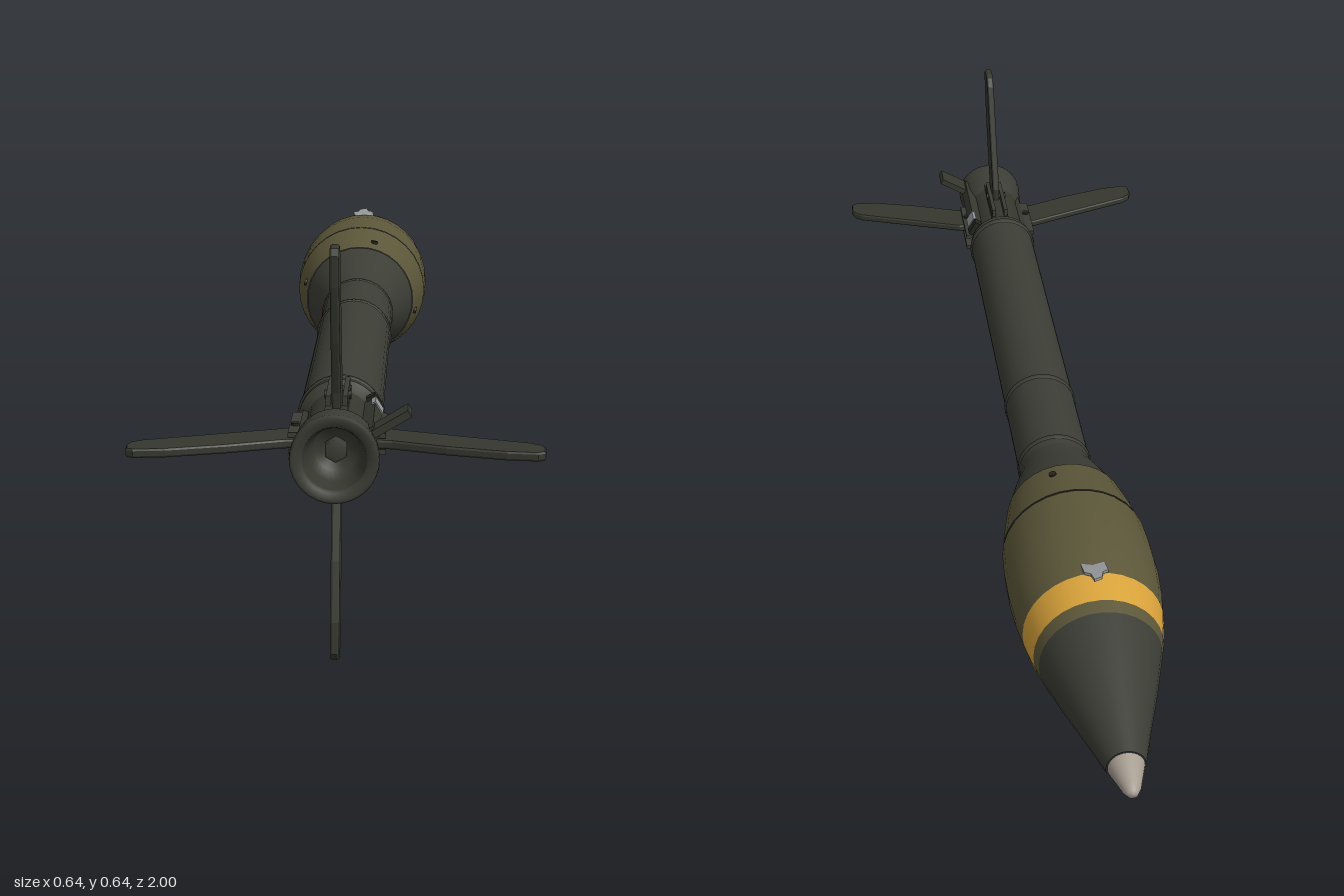
import * as THREE from 'three';

const material = (name, color) => {
  const m = new THREE.MeshStandardMaterial({ color });
  m.name = name;
  return m;
};

export function createModel() {
  const dark = material('dark casing', 0x3c3d35);
  const olive = material('olive body', 0x5c5739);
  const yellow = material('yellow band', 0xd9a339);
  const pale = material('pale tip', 0xa79d91);
  const finPaint = material('fin paint', 0x36382f);
  const black = material('recess black', 0x24251f);
  const steel = material('bare steel', 0x94979b);

  const model = new THREE.Group();
  model.name = 'finnedRocket';
  const body = new THREE.Group(); // everything sits around the z axis
  body.name = 'rocketAssembly';
  body.position.y = 0.323;
  model.add(body);

  const add = (parent, name, geometry, mat) => {
    const mesh = new THREE.Mesh(geometry, mat);
    mesh.name = name;
    parent.add(mesh);
    return mesh;
  };
  // Profile points are [z, radius], running from nose to tail
  const turned = (name, mat, profile, sides = 32) => {
    const g = new THREE.LatheGeometry(profile.map(([z, r]) => new THREE.Vector2(r, z)), sides);
    g.rotateX(Math.PI / 2);
    return add(body, name, g, mat);
  };
  const box = (parent, name, mat, size, pos) => {
    const m = add(parent, name, new THREE.BoxGeometry(...size), mat);
    m.position.set(...pos);
    return m;
  };

  // Warhead, from tip to shoulder
  turned('noseTip', pale, [[-1, 0], [-0.998, 0.009], [-0.985, 0.016], [-0.935, 0.031]]);
  turned('noseCone', dark, [[-0.935, 0.033], [-0.86, 0.054], [-0.77, 0.081], [-0.675, 0.107]]);
  turned('frontCollar', olive, [[-0.675, 0.107], [-0.65, 0.113]]);
  turned('yellowBand', yellow, [[-0.65, 0.113], [-0.62, 0.119], [-0.59, 0.124]]);
  turned('warheadFront', olive, [[-0.59, 0.124], [-0.54, 0.131], [-0.48, 0.135], [-0.42, 0.135], [-0.365, 0.132]]);
  turned('warheadSeam', black, [[-0.365, 0.131], [-0.36, 0.131]]);
  turned('warheadRear', olive, [[-0.36, 0.132], [-0.31, 0.122], [-0.25, 0.109]]);
  turned('shoulder', dark, [[-0.25, 0.108], [-0.2, 0.092], [-0.155, 0.076], [-0.125, 0.069]]);

  // Motor tube with thin joint rings
  turned('motorTube', dark, [[-0.125, 0.069], [0.3, 0.068], [0.755, 0.068]]);
  turned('tubeRearLip', dark, [[0.755, 0.068], [0.77, 0.056], [0.78, 0.052]]);
  for (const z of [-0.11, 0.1, 0.73]) turned('jointRing', dark, [[z, 0.068], [z + 0.002, 0.071], [z + 0.01, 0.071], [z + 0.012, 0.068]]);

  // Tail boom and hollow nozzle
  turned('tailBoom', finPaint, [[0.77, 0.054], [0.9, 0.053], [0.92, 0.056]]);
  turned('nozzleOuter', dark, [[0.91, 0.055], [0.935, 0.065], [0.99, 0.069]]);
  turned('nozzleRim', dark, [[0.99, 0.069], [0.998, 0.068], [1, 0.064], [0.998, 0.052], [0.992, 0.049]]);
  turned('nozzleInner', finPaint, [[0.992, 0.049], [0.965, 0.042], [0.93, 0.034], [0.925, 0]]);
  turned('nozzlePlug', dark, [[0.925, 0.02], [0.943, 0.019], [0.947, 0.015], [0.947, 0]], 6);

  // Four swept fins with hinge lugs
  const outline = [[0.05, 0.835], [0.085, 0.835], [0.2, 0.877], [0.3, 0.913], [0.315, 0.925],
    [0.32, 0.94], [0.318, 0.962], [0.308, 0.968], [0.26, 0.963], [0.17, 0.937], [0.085, 0.905], [0.05, 0.9]];
  const finGeometry = new THREE.ExtrudeGeometry(
    new THREE.Shape(outline.map(([r, z]) => new THREE.Vector2(r, z))),
    { depth: 0.008, bevelEnabled: true, bevelThickness: 0.003, bevelSize: 0.002, bevelSegments: 1 });
  finGeometry.translate(0, 0, -0.004).rotateX(Math.PI / 2);
  const sweep = [0, 0.012, 0, 0.026];
  for (let i = 0; i < 4; i++) {
    const unit = new THREE.Group();
    unit.name = 'finUnit';
    unit.rotation.z = i * Math.PI / 2;
    body.add(unit);
    add(unit, 'fin', finGeometry, finPaint).position.z = sweep[i];
    for (const s of [-1, 1]) box(unit, 'hingeLug', dark, [0.028, 0.008, 0.13], [0.062, s * 0.013, 0.835]);
    box(unit, 'hingeBase', finPaint, [0.02, 0.036, 0.17], [0.05, 0, 0.84]);
    const pin = add(unit, 'hingePin', new THREE.CylinderGeometry(0.007, 0.007, 0.042, 10), black);
    pin.position.set(0.067, 0, 0.852);
  }

  // Retaining clip between the upper and left fins
  const clip = new THREE.Group();
  clip.name = 'retainingClip';
  clip.rotation.z = 0.54;
  body.add(clip);
  box(clip, 'clipArm', finPaint, [0.065, 0.012, 0.045], [0.1, 0, 0.955]);
  box(clip, 'clipFoot', finPaint, [0.022, 0.02, 0.2], [0.062, 0, 0.87]);
  box(clip, 'clipPlate', steel, [0.008, 0.024, 0.035], [0.071, 0, 0.805]);
  box(clip, 'clipCatch', black, [0.016, 0.03, 0.02], [0.066, 0, 0.775]);

  // Bare patch on top of the warhead
  const patch = new THREE.Shape([[0, -0.04], [0.012, -0.026], [0.022, -0.02], [0.02, 0.008], [0.009, 0.016],
    [0.006, 0.035], [-0.008, 0.028], [-0.012, 0.012], [-0.022, 0.006], [-0.02, -0.018], [-0.01, -0.024]]
    .map(([x, y]) => new THREE.Vector2(x, y)));
  const patchGeometry = new THREE.ExtrudeGeometry(patch, { depth: 0.005, bevelEnabled: false });
  patchGeometry.rotateX(-Math.PI / 2);
  const patchMesh = add(body, 'barePatch', patchGeometry, steel);
  patchMesh.position.set(-0.002, 0.1235, -0.585);
  patchMesh.rotation.x = 0.14;

  // Small screws on the warhead and a stud under the tube
  for (let i = 0; i < 4; i++) {
    const a = i * Math.PI / 2 - 0.25;
    const screw = add(body, 'screw', new THREE.CylinderGeometry(0.007, 0.007, 0.006, 10), black);
    screw.position.set(Math.cos(a) * 0.117, Math.sin(a) * 0.117, -0.285);
    screw.rotation.z = a - Math.PI / 2;
  }
  box(body, 'tubeStud', dark, [0.012, 0.012, 0.02], [0, -0.067, 0.21]);

  return model;
}
